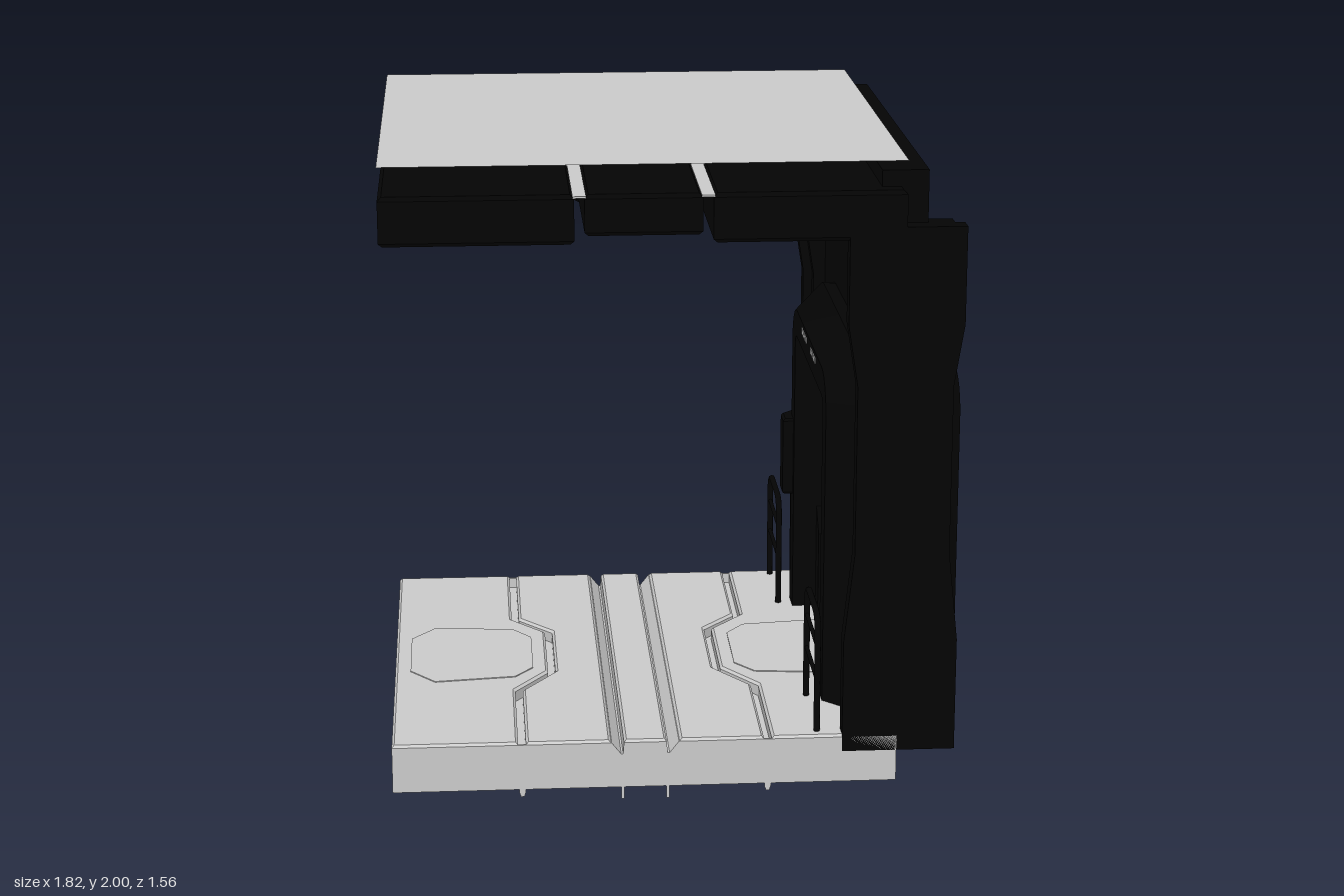
import * as THREE from 'three';
import { toCreasedNormals } from 'three/addons/utils/BufferGeometryUtils.js';

const grey = new THREE.MeshStandardMaterial({ color: 0xcccccc, side: THREE.DoubleSide });
const black = new THREE.MeshStandardMaterial({ color: 0x040404, side: THREE.DoubleSide });
const MID = -0.13; // centre line of floor and ceiling
const L = -0.91, R = 0.65, D = 0.78;

const shapeOf = pts => new THREE.Shape(pts.map(p => new THREE.Vector2(p[0], p[1])));

export function createModel() {
  const model = new THREE.Group();

  function add(name, geometry, material = black) {
    const mesh = new THREE.Mesh(geometry, material);
    mesh.name = name;
    model.add(mesh);
  }
  // Box given by its limits
  function box(name, x0, x1, y0, y1, z0, z1, material = black) {
    const g = new THREE.BoxGeometry(x1 - x0, y1 - y0, z1 - z0);
    add(name, g.translate((x0 + x1) / 2, (y0 + y1) / 2, (z0 + z1) / 2), material);
  }
  // Plan outline [x, z] made into a plate between two heights
  function plate(name, pts, y0, y1, material = black, bevel = 0) {
    const g = new THREE.ExtrudeGeometry(shapeOf(pts), {
      depth: y1 - y0 - 2 * bevel, bevelEnabled: bevel > 0,
      bevelThickness: bevel, bevelSize: bevel, bevelOffset: -bevel, bevelSegments: 1,
    });
    add(name, g.rotateX(Math.PI / 2).translate(0, y1 - bevel, 0), material);
  }
  // Front outline [x, y] made into a slab between two depths
  function slab(name, pts, z0, z1, material = black) {
    const g = new THREE.ExtrudeGeometry(shapeOf(pts), { depth: z1 - z0, bevelEnabled: false });
    add(name, g.translate(0, 0, z0), material);
  }
  // Front outline [x, y] made into a thin sheet
  function sheet(name, pts, z, material) {
    add(name, new THREE.ShapeGeometry(shapeOf(pts)).translate(0, 0, z), material);
  }
  // Lines running front to back; zig steps sideways in the middle
  const straight = x => [[x, -D], [x, D]];
  const zig = (x, jog) => [[x, -D], [x, -0.33], [x + jog, -0.2], [x + jog, 0.17], [x, 0.33], [x, D]];
  const shift = (path, d) => path.map(([x, z]) => [x + d, z]);
  const between = (a, b) => [...a, ...[...b].reverse()];
  const mirror = path => path.map(([x, z]) => [2 * MID - x, z]);

  // Floor skirt, open below, with notches at the two straight slots
  const notch = [[-0.236, 0.187], [-0.205, 0.15], [-0.196, 0.15], [-0.196, 0.187]];
  const skirtEnd = [[L, 0.04], [L, 0.187], ...notch, ...mirror(notch).reverse(), [R, 0.187], [R, 0.04]];
  for (const z of [-D, D - 0.008]) slab('skirtEnd', skirtEnd, z, z + 0.008, grey);
  for (const x of [L, R - 0.008]) box('skirtSide', x, x + 0.008, 0.04, 0.187, -D, D, grey);

  // Thin floor plates, the troughs between them, and feet below the trough ends
  const sideLine = zig(-0.51, 0.11);
  const strip = (a, b) => between(shift(sideLine, a), shift(sideLine, b));
  const outer = between(straight(L), shift(sideLine, -0.012));
  const inner = between(shift(sideLine, 0.012), straight(-0.236));
  const hatch = [[-0.86, -0.15], [-0.86, 0.15], [-0.78, 0.25], [-0.52, 0.22], [-0.46, 0.14],
    [-0.46, -0.14], [-0.52, -0.22], [-0.78, -0.25]];
  const slot = [[-0.242, 0.185], [-0.21, 0.147], [-0.206, 0.125], [-0.194, 0.125], [-0.191, 0.187],
    [-0.196, 0.187], [-0.199, 0.15], [-0.205, 0.15], [-0.234, 0.187]];
  const narrowFoot = [[-0.208, 0.15], [-0.204, 0], [-0.196, 0], [-0.19, 0.15]];
  const wideFoot = [[-0.52, 0.15], [-0.52, 0.03], [-0.515, 0.015], [-0.505, 0.015], [-0.5, 0.03], [-0.5, 0.15]];
  for (const m of [p => p, mirror]) {
    plate('floorOuterPlate', m(outer), 0.177, 0.195, grey, 0.008);
    plate('floorInnerPlate', m(inner), 0.177, 0.195, grey, 0.008);
    plate('floorHatch', m(hatch), 0.19, 0.198, grey);
    plate('channelWall', m(strip(-0.016, -0.012)), 0.15, 0.187, grey);
    plate('channelWall', m(strip(0.012, 0.016)), 0.15, 0.187, grey);
    plate('channelBed', m(strip(-0.016, 0.016)), 0.148, 0.153, grey);
    slab('floorSlot', m(slot), -D, D, grey);
    for (const z of [-D + 0.002, D - 0.002]) {
      sheet('slotFoot', m(narrowFoot), z, grey);
      sheet('channelFoot', m(wideFoot), z, grey);
    }
  }
  plate('floorMiddlePlate', between(straight(-0.196), straight(-0.064)), 0.177, 0.195, grey, 0.008);

  // Ceiling panels, lamp strips in the gaps, and upright end sheets at the back
  const lampLine = zig(-0.32, -0.06);
  const ceilingOuter = between(straight(L), shift(lampLine, -0.015));
  const lampPlan = between(shift(lampLine, -0.02), shift(lampLine, 0.02));
  const fin = [[-0.42, 1.89], [-0.41, 2], [-0.365, 2], [-0.3, 1.89]];
  for (const m of [p => p, mirror]) {
    plate('ceilingOuterPanel', m(ceilingOuter), 1.76, 1.91, black, 0.012);
    plate('ceilingLampStrip', m(lampPlan), 1.9, 1.906, grey);
    sheet('ceilingFin', m(fin), -D + 0.002, black);
  }
  plate('ceilingMiddlePanel', between(shift(lampLine, 0.015), mirror(shift(lampLine, 0.015))), 1.785, 1.91, black, 0.012);

  // Thin roof sheet
  const roof = new THREE.PlaneGeometry(R - L, 2 * D).rotateX(-Math.PI / 2);
  add('roofSheet', roof.translate(MID, 2, 0), grey);

  // Wall with doorway
  const wall = new THREE.ExtrudeGeometry(shapeOf([[-0.72, 0.14], [-0.45, 0.14], [-0.45, 1.22],
    [0.45, 1.22], [0.45, 0.14], [0.72, 0.14], [0.72, 1.96], [-0.72, 1.96]]), { depth: 0.14, bevelEnabled: false });
  add('wall', wall.rotateY(Math.PI / 2).translate(0.58, 0, 0));

  // Door arch: a chamfered section carried along an upside-down U
  const path = [];
  for (const s of [1, -1]) {
    const leg = [[0.4, 0.11, 0]];
    for (let i = 0; i <= 6; i++) {
      const a = i / 6 * Math.PI / 2;
      leg.push([0.36 + 0.04 * Math.cos(a), 1.13 + 0.04 * Math.sin(a), a]);
    }
    if (s < 0) leg.reverse();
    for (const [z, y, a] of leg) path.push({ z: z * s, y, nz: Math.cos(a) * s, ny: Math.sin(a) });
  }
  const section = [[0, 0.45], [0.09, 0.45], [0.18, 0.54], [0.18, 0.78], [0.09, 0.87], [0, 0.87]];
  const pos = [], index = [], n = section.length;
  for (const p of path) for (const [r, x] of section) pos.push(x, p.y + r * p.ny, p.z + r * p.nz);
  for (let i = 0; i < path.length - 1; i++) {
    for (let j = 0; j < n; j++) {
      const a = i * n + j, b = i * n + (j + 1) % n;
      index.push(a, a + n, b, b, a + n, b + n);
    }
  }
  const last = (path.length - 1) * n;
  for (let j = 1; j < n - 1; j++) index.push(0, j, j + 1, last, last + j + 1, last + j);
  const arch = new THREE.BufferGeometry();
  arch.setAttribute('position', new THREE.Float32BufferAttribute(pos, 3));
  arch.setIndex(index);
  add('doorArch', toCreasedNormals(arch, 0.5));

  // Cover around one leg of the arch, and the cabinet inside the doorway
  plate('archCover', [[0.415, -0.43], [0.905, -0.43], [0.905, -0.51], [0.79, -0.62], [0.53, -0.62],
    [0.415, -0.51]], 0.59, 0.86, black, 0.008);
  const cabinet = new THREE.ExtrudeGeometry(shapeOf([[0.325, 0.185], [0.41, 0.185], [0.41, 0.555],
    [0.4, 0.555], [0.325, 0.48]]), { depth: 0.26, bevelEnabled: false });
  add('doorCabinet', cabinet.rotateY(Math.PI / 2).translate(0.53, 0, 0));

  // Row lamps above the doorway, on both faces
  for (const x of [0.447, 0.868]) for (const s of [-1, 1]) for (let i = 0; i < 4; i++) {
    const z = s * (0.072 + i * 0.036);
    box('doorLamp', x, x + 0.005, 1.225, 1.243, z - 0.015, z + 0.015, grey);
  }

  // End pillars with a waist, recessed inner lips, lamps and lower panels
  const waist = d => [[0.48 + d, 0.14], [0.83 - d, 0.14], [0.83 - d, 0.5], [0.8 - d, 0.78], [0.8 - d, 1.31],
    [0.83 - d, 1.5], [0.83 - d, 1.8], [0.48 + d, 1.8], [0.48 + d, 1.5], [0.51 + d, 1.31],
    [0.51 + d, 0.78], [0.48 + d, 0.5]];
  for (const s of [-1, 1]) {
    const span = (a, b) => s > 0 ? [a, b] : [-b, -a];
    slab('endPillar', waist(0), ...span(0.72, 0.78));
    slab('pillarLip', waist(0.03), ...span(0.67, 0.72));
    box('lowerPanel', 0.56, 0.74, 0.14, 0.42, ...span(0.57, 0.67));
    for (const y of [0.71, 1.16]) box('pillarLamp', 0.715, 0.783, y - 0.011, y + 0.011, ...span(0.655, 0.715), grey);
    box('pipeEndBracket', 0.71, 0.81, 1.62, 1.72, ...span(0.67, 0.72));
    box('pipeBracket', 0.71, 0.785, 1.62, 1.72, ...span(0.315, 0.38));

    // Handrail hoop with rungs, standing on the floor
    const hoop = new THREE.CurvePath();
    const V = (y, z) => new THREE.Vector3(0.405, y, z * s);
    hoop.add(new THREE.LineCurve3(V(0.18, 0.44), V(0.5, 0.44)));
    hoop.add(new THREE.QuadraticBezierCurve3(V(0.5, 0.44), V(0.57, 0.44), V(0.57, 0.51)));
    hoop.add(new THREE.LineCurve3(V(0.57, 0.51), V(0.57, 0.67)));
    hoop.add(new THREE.QuadraticBezierCurve3(V(0.57, 0.67), V(0.57, 0.74), V(0.5, 0.74)));
    hoop.add(new THREE.LineCurve3(V(0.5, 0.74), V(0.18, 0.74)));
    add('handrail', new THREE.TubeGeometry(hoop, 60, 0.01, 8));
    for (const y of [0.36, 0.47]) {
      const rung = new THREE.CylinderGeometry(0.007, 0.007, 0.3, 8).rotateX(Math.PI / 2);
      add('handrailRung', rung.translate(0.405, y, 0.59 * s));
    }
  }

  // Pipe along the upper wall
  const pipe = new THREE.CylinderGeometry(0.02, 0.02, 1.44, 12).rotateX(Math.PI / 2);
  add('wallPipe', pipe.translate(0.755, 1.68, 0));

  return model;
}
